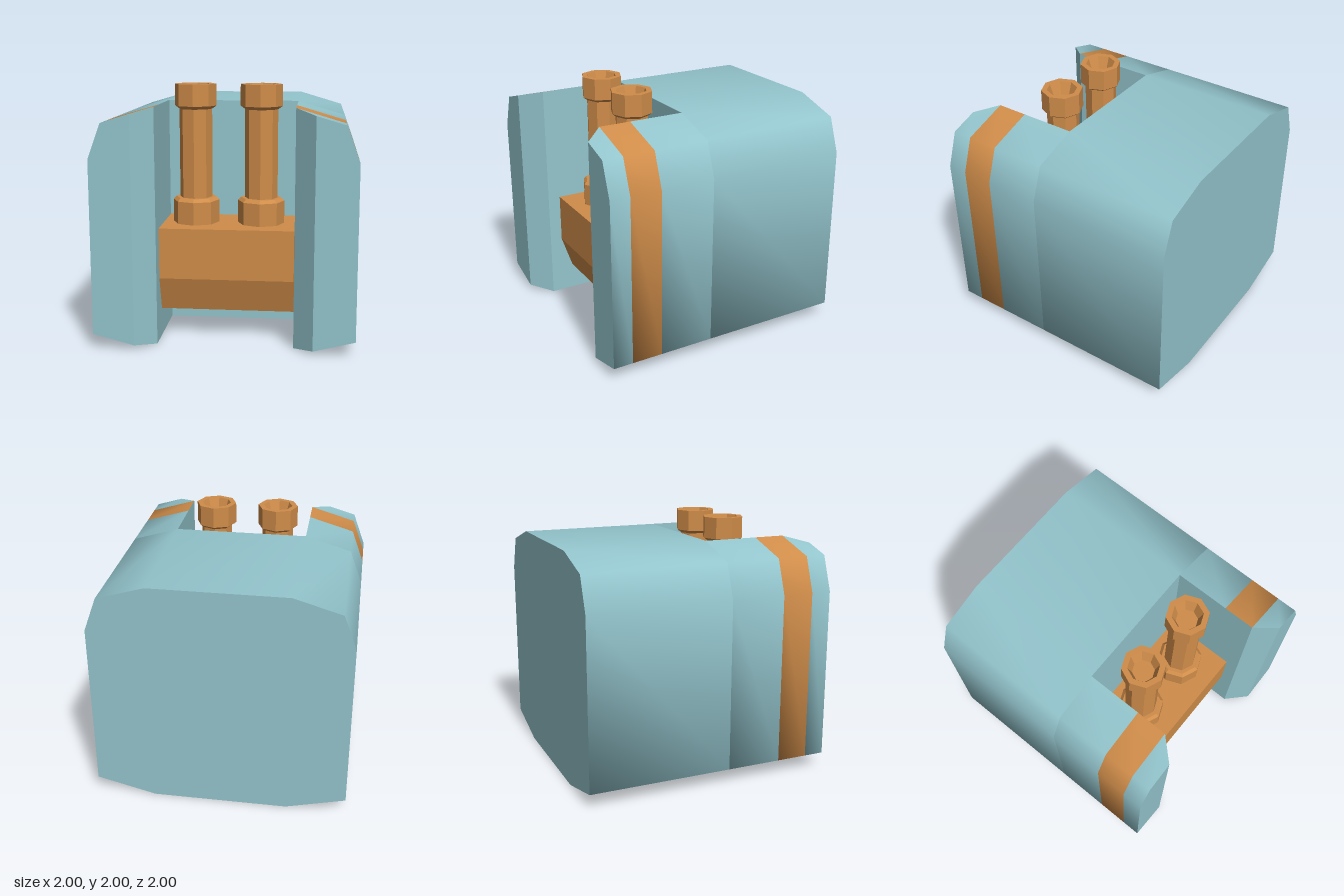
import * as THREE from 'three';
import { toCreasedNormals } from 'three/addons/utils/BufferGeometryUtils.js';

const teal = new THREE.MeshStandardMaterial({ name: 'teal shell', color: 0x93c4cc });
const orange = new THREE.MeshStandardMaterial({ name: 'orange metal', color: 0xd08d4a });

const SLOT = 0.53, SLOT_BACK = 0.15;

function add(parent, name, geometry, material) {
  const mesh = new THREE.Mesh(geometry, material);
  mesh.name = name;
  parent.add(mesh);
  return mesh;
}

// Skin between two counter-clockwise outlines at depths za < zb
function strip(a, za, b, zb) {
  const p = [];
  for (let i = 0; i < a.length - 1; i++) {
    const A = [...a[i], za], B = [...a[i + 1], za], C = [...b[i + 1], zb], D = [...b[i], zb];
    p.push(...A, ...B, ...C, ...A, ...C, ...D);
  }
  const g = new THREE.BufferGeometry();
  g.setAttribute('position', new THREE.Float32BufferAttribute(p, 3));
  return toCreasedNormals(g, 1.4);
}

const face = (pts) => new THREE.ShapeGeometry(new THREE.Shape(pts.map(([x, y]) => new THREE.Vector2(x, y))));

// Outer half outline from the inner edge at the bottom to the inner edge at the top
function half(inner, side) {
  const t = inner - SLOT;
  const pts = [
    [inner, t * 0.12 / 0.47], [1, 0.12], [1, 1.47], [0.9, 1.74], [inner, 1.85 - t * 0.11 / 0.37],
  ];
  return side > 0 ? pts : pts.map(([x, y]) => [-x, y]).reverse();
}

function createArm(side) {
  const arm = new THREE.Group();
  arm.name = side > 0 ? 'leftArm' : 'rightArm';
  const main = half(SLOT, side), tip = half(0.68, side);
  const inner = (pts) => [pts[pts.length - 1], pts[0]];
  add(arm, 'armShell', strip(main, SLOT_BACK, main, 0.59), teal);
  add(arm, 'armBand', strip(main, 0.59, main, 0.84), orange);
  add(arm, 'armTip', strip(main, 0.84, tip, 1), teal);
  add(arm, 'armInnerWall', strip(inner(main), SLOT_BACK, inner(main), 0.84), teal);
  add(arm, 'armInnerBevel', strip(inner(main), 0.84, inner(tip), 1), teal);
  add(arm, 'armFront', face(tip), teal).position.z = 1;
  return arm;
}

// Eight-sided piston with collar, shaft and hollow head
function createPiston(x, name) {
  const profile = [
    [0.185, 0.9], [0.185, 1.08], [0.16, 1.105], [0.13, 1.105], [0.13, 1.805],
    [0.165, 1.83], [0.165, 2], [0.12, 2], [0.085, 1.9], [0, 1.9],
  ].map(([r, y]) => new THREE.Vector2(r, y));
  const g = new THREE.LatheGeometry(profile, 8).toNonIndexed();
  g.computeVertexNormals();
  const group = new THREE.Group();
  group.name = name;
  add(group, 'pistonBody', g, orange);
  group.position.set(x, 0, 0.43);
  return group;
}

export function createModel() {
  const model = new THREE.Group();
  model.name = 'housingWithPistons';

  // Main housing
  const outline = [...half(SLOT, 1), ...half(SLOT, -1)];
  const closed = [...outline, outline[0]];
  add(model, 'housingShell', strip(closed, -1, closed, SLOT_BACK), teal);
  const back = add(model, 'housingBack', face(outline), teal);
  back.rotation.y = Math.PI;
  back.position.z = -1;
  add(model, 'slotBackWall', new THREE.PlaneGeometry(SLOT * 2, 1.85), teal).position.set(0, 0.925, SLOT_BACK);

  // Arms on both sides of the slot
  for (const side of [1, -1]) model.add(createArm(side));

  // Block with a sloped underside; shape x becomes depth
  const section = new THREE.Shape([
    [0.155, 0.12], [0.65, 0.23], [0.74, 0.5], [0.74, 0.9], [0.155, 0.9],
  ].map(([z, y]) => new THREE.Vector2(z, y)));
  const block = new THREE.ExtrudeGeometry(section, { depth: 1.05, bevelEnabled: false });
  block.translate(0, 0, -0.525).rotateY(-Math.PI / 2);
  add(model, 'pistonBlock', block, orange);

  model.add(createPiston(0.25, 'leftPiston'), createPiston(-0.27, 'rightPiston'));
  return model;
}
